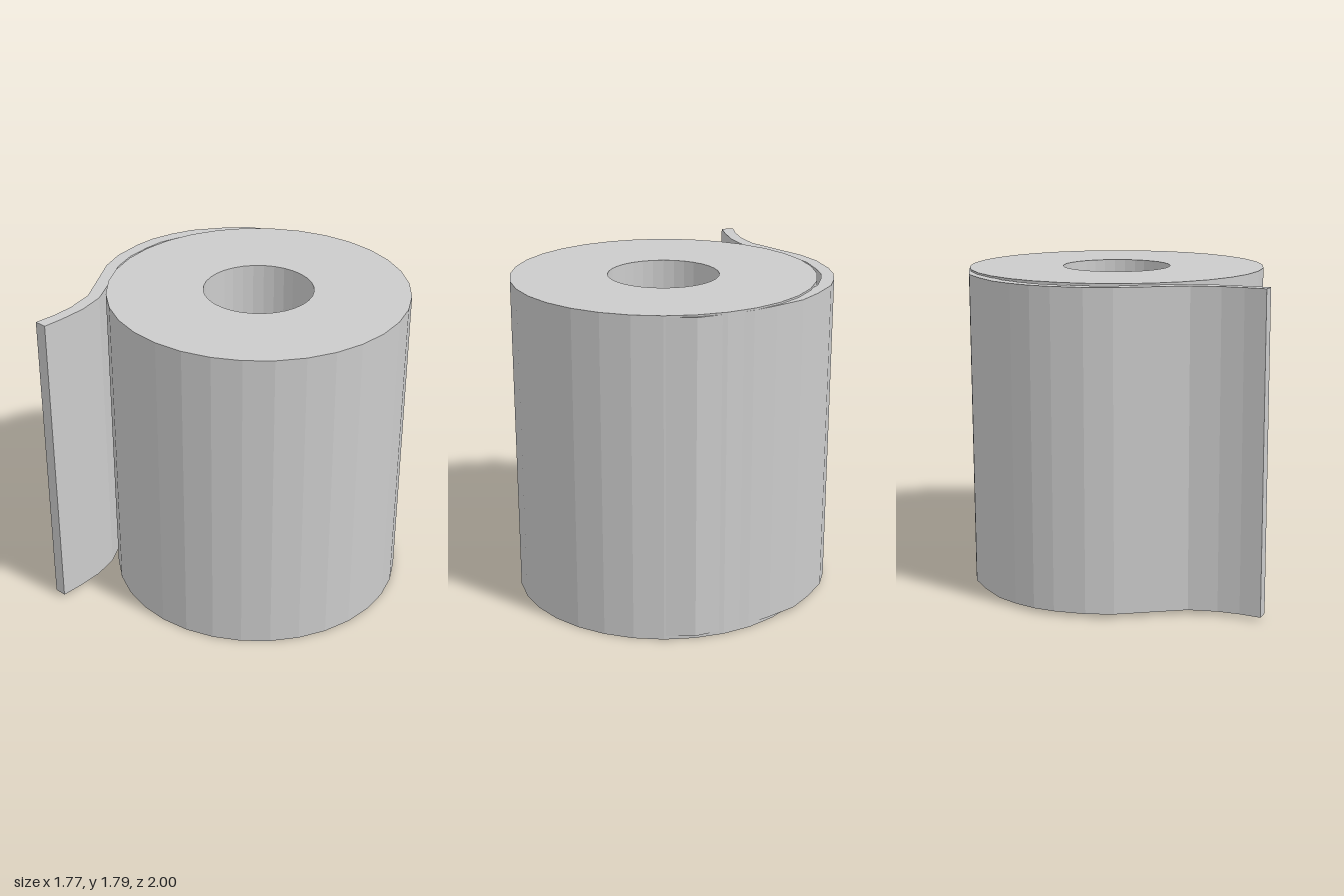
import * as THREE from 'three';

const SIDES = 32;
const CENTER = { x: 0.047, z: -0.163 };

const material = new THREE.MeshStandardMaterial({ color: 0xcccccc, flatShading: true });

// Regular polygon in plan, as [x, z] points, counter-clockwise seen from above
function ring(radius) {
  return Array.from({ length: SIDES }, (_, i) => {
    const a = (i / SIDES) * Math.PI * 2;
    return [CENTER.x + radius * Math.cos(a), CENTER.z - radius * Math.sin(a)];
  });
}

const toPoints = (plan) => plan.map(([x, z]) => new THREE.Vector2(x, -z));

// Raise a plan outline from y = bottom to y = top
function raise(name, plan, bottom, top, hole) {
  const shape = new THREE.Shape(toPoints(plan));
  if (hole) shape.holes.push(new THREE.Path(toPoints(hole)));
  const geometry = new THREE.ExtrudeGeometry(shape, { depth: top - bottom, bevelEnabled: false });
  geometry.rotateX(-Math.PI / 2).translate(0, bottom, 0);
  const mesh = new THREE.Mesh(geometry, material);
  mesh.name = name;
  return mesh;
}

export function createModel() {
  const model = new THREE.Group();
  model.name = 'paperRoll';

  // Wound paper with the open core
  model.add(raise('roll', ring(0.837), 0, 1.79, ring(0.305)));

  // Loose sheet: outer face from the back to the hanging end, then the inner face back again
  const outer = [
    [0.04, -0.999], [-0.12, -0.999], [-0.28, -0.93], [-0.41, -0.865], [-0.53, -0.78],
    [-0.67, -0.67], [-0.76, -0.54], [-0.845, -0.38], [-0.875, -0.25], [-0.885, -0.12],
    [-0.87, 0], [-0.82, 0.17], [-0.745, 0.305], [-0.61, 0.46], [-0.48, 0.61],
    [-0.42, 0.76], [-0.395, 0.88], [-0.385, 1.0],
  ];
  const inner = [
    [-0.315, 0.99], [-0.33, 0.87], [-0.36, 0.72], [-0.42, 0.575], [-0.555, 0.41],
    [-0.69, 0.265], [-0.76, 0.13], [-0.8, -0.02], [-0.815, -0.13], [-0.805, -0.24],
    [-0.775, -0.37], [-0.7, -0.51], [-0.61, -0.63], [-0.49, -0.73], [-0.37, -0.81],
    [-0.25, -0.87], [-0.1, -0.935], [0.04, -0.94],
  ];
  model.add(raise('looseSheet', [...outer, ...inner], 0.02, 1.78));

  return model;
}
